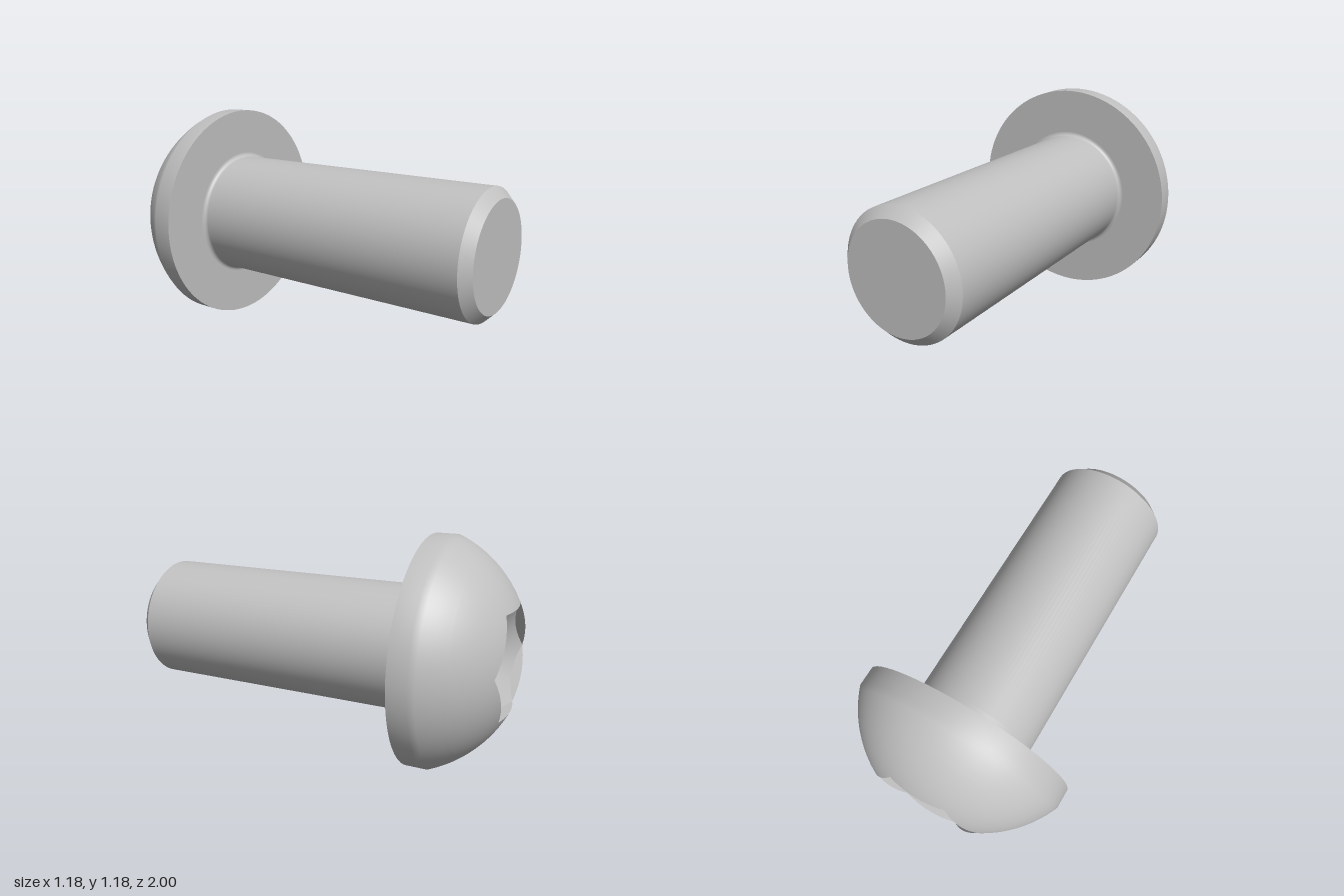
import * as THREE from 'three';
import { ParametricGeometry } from 'three/addons/geometries/ParametricGeometry.js';

const HEAD_R = 0.588, SHANK_R = 0.325;
const HEX_R = 0.303;             // socket corner radius
const DOME_R = 0.64, DOME_Z = -0.416;
const APEX_Z = -0.765, SPLIT_R = 0.5;

const domeZ = (r) => DOME_Z - Math.sqrt(DOME_R * DOME_R - r * r);
const coneZ = (r) => APEX_Z + (domeZ(HEX_R) - APEX_Z) * r / HEX_R;

// Distance from the axis to the hexagon's edge at angle a (corner at a = 0)
function hexRadius(a) {
  const s = Math.PI / 3;
  const local = a - Math.floor(a / s) * s - s / 2;
  return HEX_R * Math.cos(s / 2) / Math.cos(local);
}

export function createModel() {
  const model = new THREE.Group();
  model.name = 'buttonHeadScrew';
  const steel = new THREE.MeshStandardMaterial({ color: 0xc0c0c0 });
  steel.name = 'steelGrey';

  const add = (name, geometry) => {
    const mesh = new THREE.Mesh(geometry, steel);
    mesh.name = name;
    mesh.position.y = HEAD_R;
    model.add(mesh);
  };
  // Profiles are [radius, z], running from the head towards the tip
  const turned = (name, profile) => add(name, new THREE.LatheGeometry(
    profile.map(([r, z]) => new THREE.Vector2(r, z)), 96).rotateX(Math.PI / 2));
  // Surface swept around the axis between two radii, with z given by the radius
  const swept = (name, inner, outer, zAt, rings) => add(name, new ParametricGeometry((u, v, p) => {
    const a = u * Math.PI * 2;
    const r = THREE.MathUtils.lerp(inner(a), outer(a), v);
    p.set(r * Math.cos(a), r * Math.sin(a), zAt(r));
  }, 96, rings));

  // Shank with a small fillet under the head
  const fillet = [];
  for (let i = 0; i <= 6; i++) {
    const t = i / 6 * Math.PI / 2;
    fillet.push([SHANK_R + 0.022 * (1 - Math.sin(t)), -0.548 - 0.022 * Math.cos(t)]);
  }
  turned('shank', [...fillet, [SHANK_R, -0.5], [SHANK_R, 0.95]]);
  turned('tipChamfer', [[SHANK_R, 0.95], [0.275, 1]]);
  turned('tipFace', [[0.275, 1], [0, 1]]);

  // Head: flat underside, rim softly blending into the dome
  turned('headUnderside', [[HEAD_R, -0.57], [SHANK_R + 0.022, -0.57]]);
  const rim = [];
  for (let i = 0; i <= 6; i++) {
    const r = THREE.MathUtils.lerp(SPLIT_R, HEAD_R, i / 6);
    rim.push([r, domeZ(r)]);
  }
  turned('headRim', [...rim, [HEAD_R, -0.57]]);
  swept('headDome', hexRadius, () => SPLIT_R, domeZ, 14);

  // Hex socket: conical floor and six flat walls
  swept('socketFloor', () => 0.0005, hexRadius, coneZ, 8);
  for (let i = 0; i < 6; i++) {
    add('socketWall', new ParametricGeometry((u, v, p) => {
      const a = (i + THREE.MathUtils.clamp(u, 0, 0.99999)) * Math.PI / 3;
      const r = hexRadius(a);
      p.set(r * Math.cos(a), r * Math.sin(a), 0);
      p.z = THREE.MathUtils.lerp(coneZ(r), domeZ(r) - 1e-5, v);
    }, 16, 1));
  }
  return model;
}
